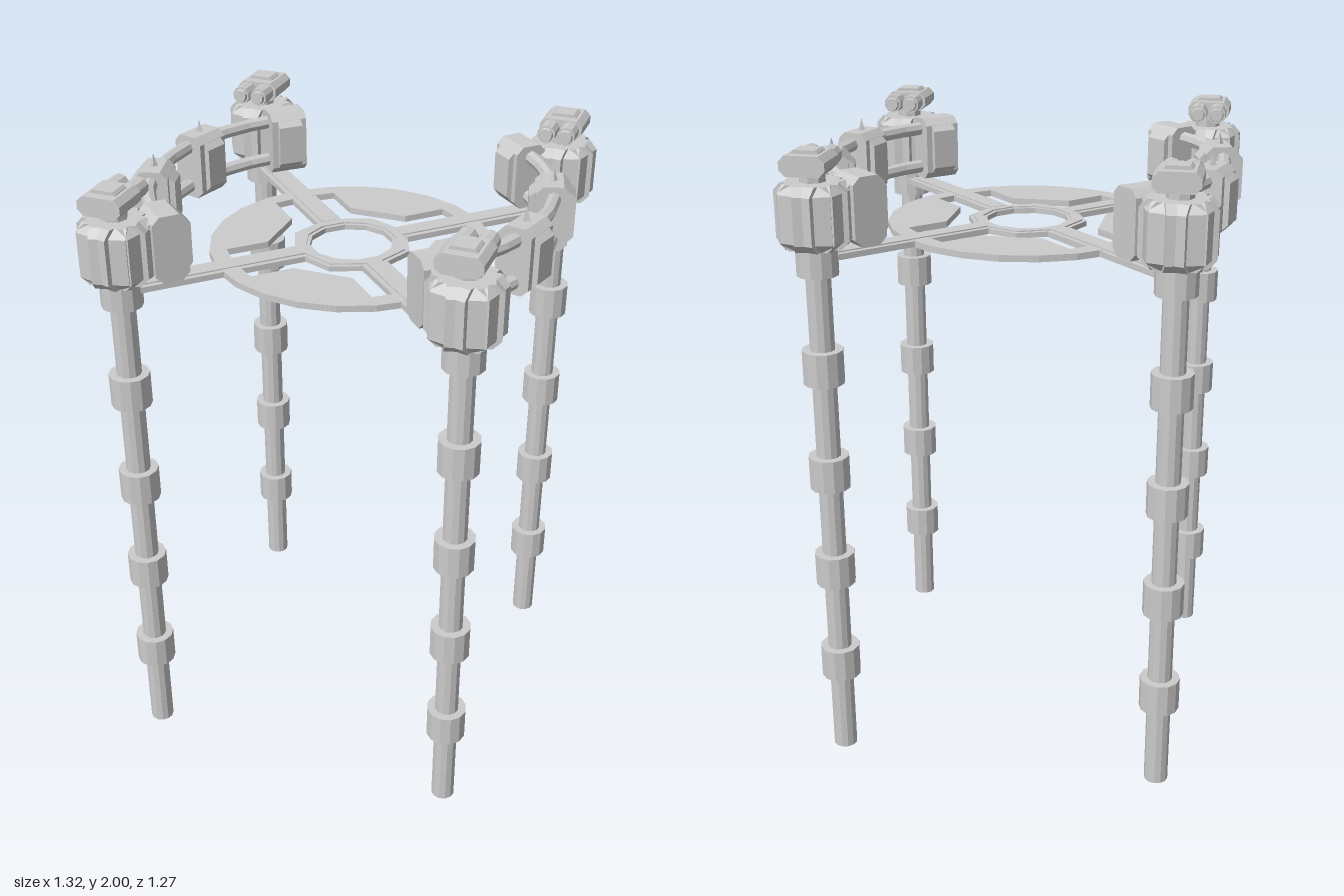
import * as THREE from 'three';

const mat = new THREE.MeshStandardMaterial({ color: 0xcccccc, flatShading: true, side: THREE.DoubleSide });

function add(parent, name, geo, x = 0, y = 0, z = 0) {
  const m = new THREE.Mesh(geo, mat);
  m.name = name;
  m.position.set(x, y, z);
  parent.add(m);
  return m;
}

const polygon = (n, r) => Array.from({ length: n }, (_, i) => {
  const a = i / n * Math.PI * 2;
  return new THREE.Vector2(Math.cos(a) * r, Math.sin(a) * r);
});

// Box with cut corners seen along z
function cutBox(w, h, d, c) {
  const x = w / 2, y = h / 2;
  const pts = [[-x + c, -y], [x - c, -y], [x, -y + c], [x, y - c], [x - c, y], [-x + c, y], [-x, y - c], [-x, -y + c]];
  const s = new THREE.Shape(pts.map(p => new THREE.Vector2(...p)));
  const g = new THREE.ExtrudeGeometry(s, { depth: d, bevelEnabled: false });
  return g.translate(0, 0, -d / 2);
}

// Flat horizontal plate with one opening, base at y = 0
function plate(outer, hole, h) {
  const s = new THREE.Shape(outer);
  s.holes.push(new THREE.Path(hole));
  return new THREE.ExtrudeGeometry(s, { depth: h, bevelEnabled: false }).rotateX(-Math.PI / 2);
}

// Horizontal arc around the model's centre
class RailArc extends THREE.Curve {
  constructor(r, span) { super(); this.r = r; this.span = span; }
  getPoint(t, v = new THREE.Vector3()) {
    const a = (t * 2 - 1) * this.span;
    return v.set(Math.cos(a) * this.r, 0, Math.sin(a) * this.r);
  }
}

// Post with collars, faceted head and twin-barrel lamp
function makePost() {
  const g = new THREE.Group();
  g.name = 'post';
  add(g, 'pole', new THREE.CylinderGeometry(0.038, 0.038, 1.75, 12), 0, 0.875);
  for (const y of [0.325, 0.665, 1.0, 1.345, 1.683])
    add(g, 'collar', new THREE.CylinderGeometry(0.063, 0.063, 0.106, 12), 0, y);

  for (const turn of [-1, 1]) {
    const head = new THREE.Group();
    head.name = 'postHead';
    head.rotation.y = turn * Math.PI / 12;
    head.position.y = 1.81;
    add(head, 'headBlock', cutBox(0.2, 0.19, 0.108, 0.025));
    add(head, 'headBlock', cutBox(0.2, 0.19, 0.108, 0.025)).rotation.y = Math.PI / 2;
    g.add(head);
  }
  add(g, 'lampStem', new THREE.CylinderGeometry(0.04, 0.04, 0.06, 8), 0, 1.92);

  // lamp points along -z, back to the centre
  const lamp = new THREE.Group();
  lamp.name = 'lamp';
  lamp.position.set(-0.005, 1.96, 0.01);
  add(lamp, 'lampBody', cutBox(0.135, 0.06, 0.125, 0.018));
  add(lamp, 'lampTop', cutBox(0.08, 0.03, 0.065, 0.008), 0, 0.025);
  for (const s of [-1, 1]) {
    add(lamp, 'lampBarrel', new THREE.CylinderGeometry(0.029, 0.029, 0.07, 10), s * 0.031, 0, -0.09).rotation.x = Math.PI / 2;
    add(lamp, 'lampLens', new THREE.CylinderGeometry(0.02, 0.024, 0.014, 10), s * 0.031, 0, -0.128).rotation.x = -Math.PI / 2;
  }
  g.add(lamp);
  return g;
}

// Clamp holding the two rails, x pointing outward
function makeClamp(angle, finial) {
  const pivot = new THREE.Group();
  pivot.name = finial ? 'railClamp' : 'endClamp';
  pivot.rotation.y = angle;
  const c = new THREE.Group();
  c.position.set(0.605, 1.815, 0);
  add(c, 'clampBody', cutBox(0.105, 0.205, 0.12, 0.022));
  add(c, 'clampPlate', cutBox(0.14, 0.165, 0.08, 0.02));
  if (finial) {
    add(c, 'finialBase', new THREE.CylinderGeometry(0.008, 0.014, 0.018, 4), 0, 0.108);
    add(c, 'finial', new THREE.ConeGeometry(0.008, 0.028, 4), 0, 0.128);
  }
  pivot.add(c);
  return pivot;
}

export function createModel() {
  const root = new THREE.Group();
  root.name = 'ringStand';

  // four corner posts, lamps facing the middle
  for (const sx of [-1, 1]) for (const sz of [-1, 1]) {
    const p = makePost();
    p.position.set(sx * 0.522, 0, sz * 0.522);
    if (sz < 0) p.rotation.y = Math.PI;
    root.add(p);
  }

  // curved double rails with clamps on each side
  for (const side of [0, Math.PI]) {
    const rail = new THREE.Group();
    rail.name = 'sideRail';
    rail.rotation.y = side;
    for (const y of [1.75, 1.88])
      add(rail, 'railPipe', new THREE.TubeGeometry(new RailArc(0.61, 0.76), 10, 0.022, 8), 0, y);
    for (const s of [-1, 1]) {
      rail.add(makeClamp(s * 0.265, true));
      rail.add(makeClamp(s * 0.825, false));
    }
    root.add(rail);
  }

  // disc whose opening leaves four tapered pads
  const opening = [];
  for (let q = 0; q < 4; q++) {
    for (const [x, y] of [[0.337, -0.19], [0.24, -0.095], [0.24, 0.095], [0.337, 0.19], [0.272, 0.272]])
      opening.push(new THREE.Vector2(x, y).rotateAround(new THREE.Vector2(), q * Math.PI / 2));
  }
  add(root, 'disc', plate(polygon(24, 0.44), opening, 0.02), 0, 1.672);

  // hub rings
  add(root, 'hub', plate(polygon(8, 0.19), polygon(12, 0.13), 0.016), 0, 1.674);
  add(root, 'hubRim', plate(polygon(8, 0.176), polygon(12, 0.142), 0.024), 0, 1.67);

  // diagonal arms from hub to posts
  for (let i = 0; i < 4; i++) {
    const arm = new THREE.Group();
    arm.name = 'arm';
    arm.rotation.y = Math.PI / 4 + i * Math.PI / 2;
    add(arm, 'armPlate', new THREE.BoxGeometry(0.53, 0.018, 0.082), 0.43, 1.682);
    add(arm, 'armRib', new THREE.BoxGeometry(0.53, 0.026, 0.05), 0.43, 1.682);
    root.add(arm);
  }
  return root;
}
